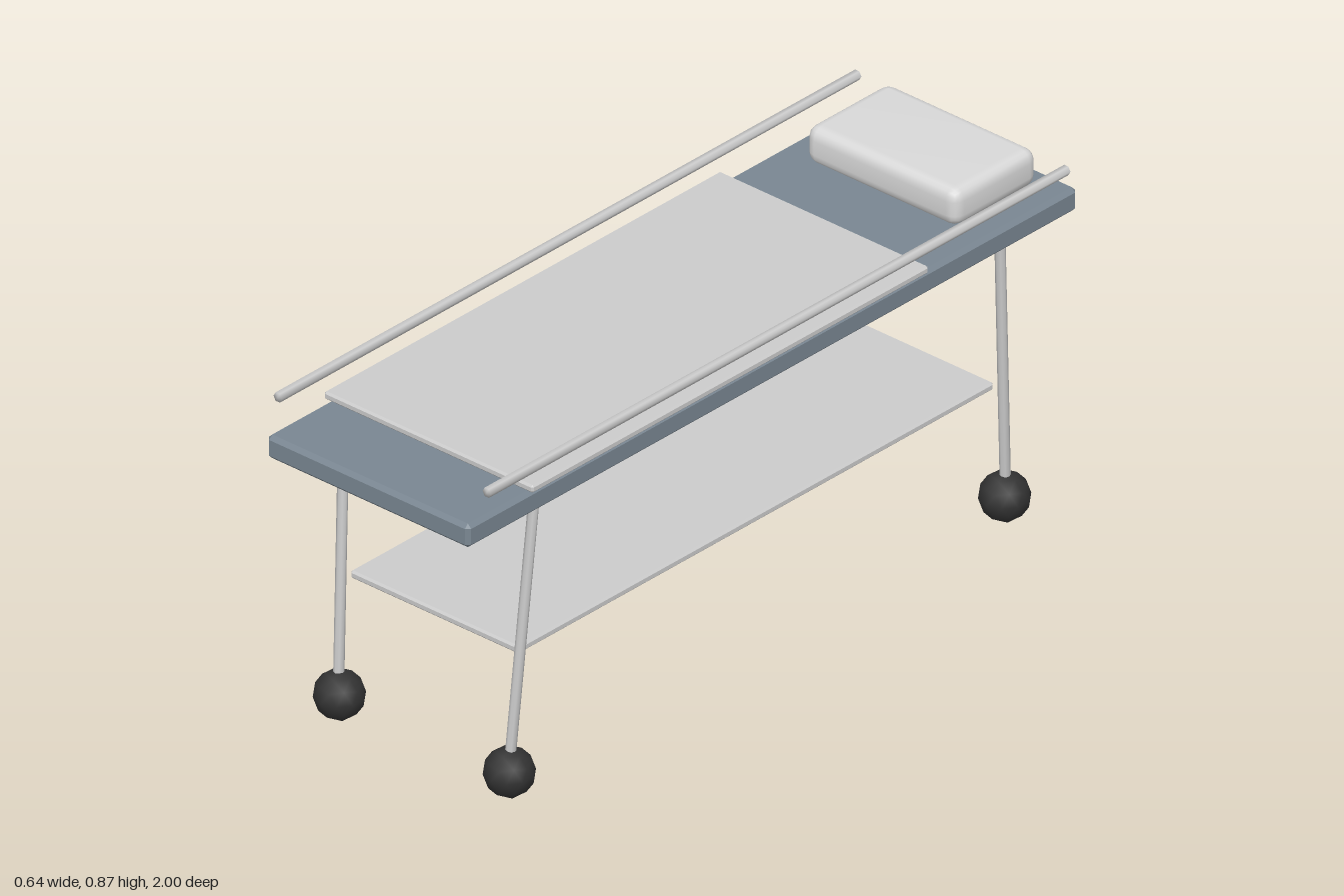
import * as THREE from 'three';
import { mergeVertices } from 'three/addons/utils/BufferGeometryUtils.js';
import { RoundedBoxGeometry } from 'three/addons/geometries/RoundedBoxGeometry.js';
import { ConvexGeometry } from 'three/addons/geometries/ConvexGeometry.js';

const material = (name, color) => {
  const m = new THREE.MeshStandardMaterial({ color });
  m.name = name;
  return m;
};

// Shares vertices so that shading flows over every edge
function smooth(geometry) {
  geometry.deleteAttribute('normal');
  geometry.deleteAttribute('uv');
  const merged = mergeVertices(geometry, 1e-4);
  merged.computeVertexNormals();
  return merged;
}

// Box with every edge cut by a small flat chamfer
function chamferBox(w, h, d, c) {
  const points = [];
  for (const x of [-1, 1]) for (const y of [-1, 1]) for (const z of [-1, 1]) {
    for (let axis = 0; axis < 3; axis++) {
      const inset = [0, 1, 2].map((i) => (i === axis ? 0 : c));
      points.push(new THREE.Vector3(
        x * (w / 2 - inset[0]), y * (h / 2 - inset[1]), z * (d / 2 - inset[2])));
    }
  }
  return new ConvexGeometry(points);
}

// Smooth rod between two points
function rod(a, b, radius, sides, turn = 0) {
  const dir = b.clone().sub(a);
  const g = smooth(new THREE.CylinderGeometry(radius, radius, dir.length(), sides));
  g.rotateY(turn);
  g.applyQuaternion(new THREE.Quaternion().setFromUnitVectors(
    new THREE.Vector3(0, 1, 0), dir.normalize()));
  const mid = a.clone().add(b).multiplyScalar(0.5);
  return g.translate(mid.x, mid.y, mid.z);
}

export function createModel() {
  const group = new THREE.Group();
  const steel = material('steel', 0xcccccc);
  const linen = material('linen', 0xcccccc);
  const pillowCloth = material('pillow cloth', 0xd9d9d9);
  const padding = material('blue grey padding', 0x7a8792);
  const rubber = material('black rubber', 0x333333);

  const add = (name, geometry, mat, x = 0, y = 0, z = 0) => {
    const mesh = new THREE.Mesh(geometry, mat);
    mesh.name = name;
    mesh.position.set(x, y, z);
    group.add(mesh);
  };

  // Bed, sheet, lower shelf and pillow
  add('mattress', chamferBox(0.6, 0.06, 2, 0.01), padding, 0, 0.753, 0);
  add('sheet', chamferBox(0.62, 0.02, 1.3, 0.005), linen, 0, 0.793, 0.15);
  add('lowerShelf', chamferBox(0.5, 0.02, 1.56, 0.005), steel, 0, 0.352, 0);
  add('pillow', smooth(new RoundedBoxGeometry(0.45, 0.095, 0.275, 2, 0.03)),
    pillowCloth, 0, 0.8255, -0.818);

  // Wheels with a corner pointing straight down
  const wheel = smooth(new THREE.IcosahedronGeometry(0.06, 1));
  wheel.rotateZ(-Math.atan(2 / (1 + Math.sqrt(5))));

  for (const sx of [1, -1]) {
    const side = sx > 0 ? 'left' : 'right';
    // Side rail
    add(side + 'Rail', rod(
      new THREE.Vector3(sx * 0.31, 0.852, -0.95),
      new THREE.Vector3(sx * 0.31, 0.852, 0.95), 0.0125, 6, Math.PI / 6), steel);
    // Slanted legs and their wheels
    for (const sz of [1, -1]) {
      const end = sz > 0 ? 'Front' : 'Back';
      add(side + end + 'Leg', rod(
        new THREE.Vector3(sx * 0.2535, 0.08, sz * 0.813),
        new THREE.Vector3(sx * 0.281, 0.73, sz * 0.765), 0.0125, 8), steel);
      add(side + end + 'Wheel', wheel, rubber, sx * 0.252, 0.06, sz * 0.812);
    }
  }
  return group;
}
